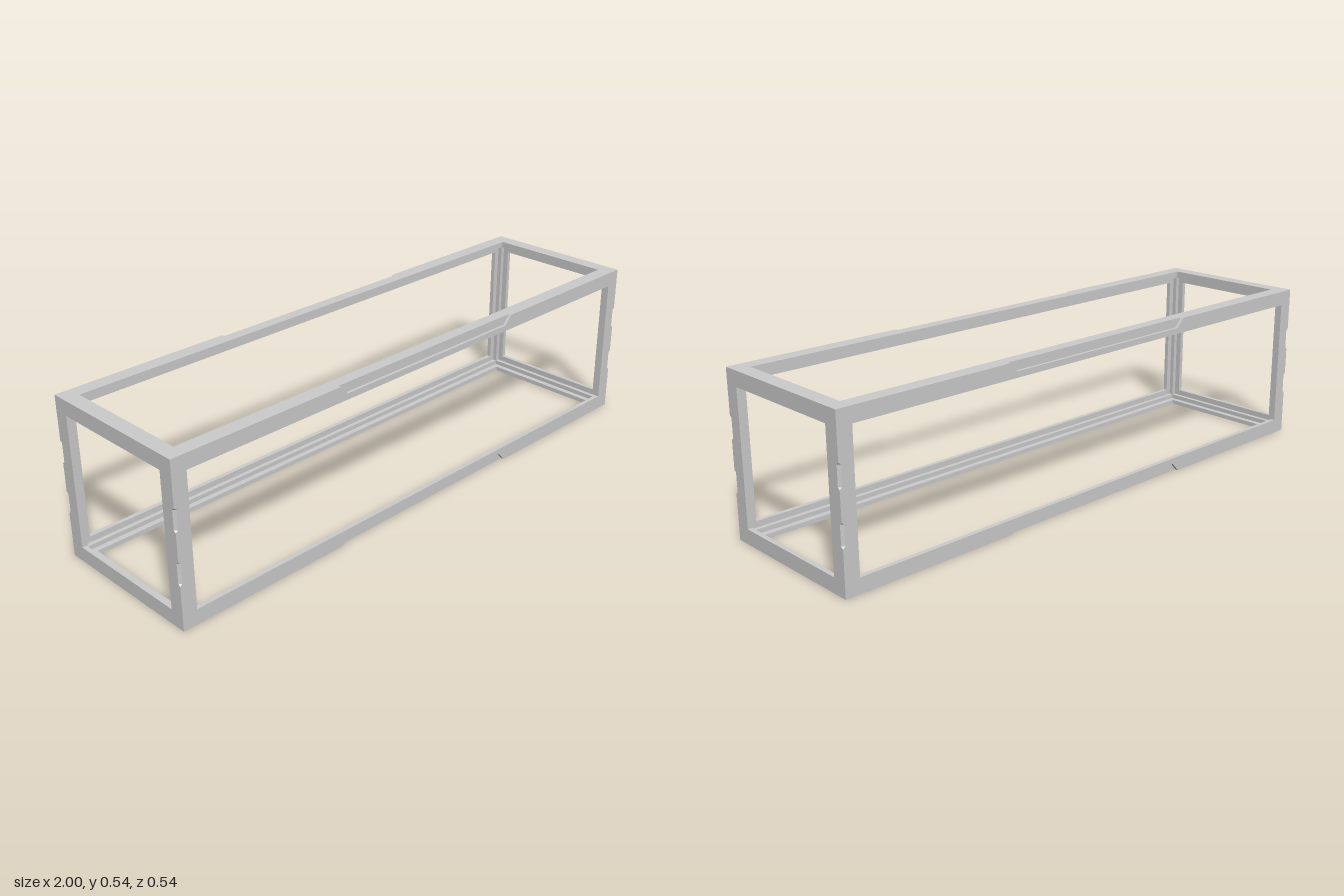
import * as THREE from 'three';

const HALF = [1, 0.271, 0.271]; // half sizes along x, y, z
const WIDTH = 0.05, FLANGE = 0.015, CORE = 0.03;

// Stepped angle section; u and v are distances inward from the two outer faces.
// The first three points are the outer edge, opened up where there is a recess.
const section = (edge) => [
  ...edge,
  [WIDTH, 0], [WIDTH, FLANGE], [CORE, FLANGE], [CORE, CORE],
  [FLANGE, CORE], [FLANGE, WIDTH], [0, WIDTH],
];
const SHARP = [[0, 0], [0, 0], [0, 0]];

// Stations [position, edge] across one recess with slanted ends
function recess(from, to, slant, startEdge, fullEdge) {
  return [
    [from, SHARP], [from, startEdge], [from + slant, fullEdge],
    [to - slant, fullEdge], [to, startEdge], [to, SHARP],
  ];
}

// Loft one mitred bar along an axis, at the corner given by the signs su, sv
function barGeometry(axis, su, sv, stations) {
  const uAxis = (axis + 1) % 3, vAxis = (axis + 2) % 3;
  const all = [[-HALF[axis], SHARP, 1], ...stations, [HALF[axis], SHARP, -1]];
  const rings = all.map(([t, edge, mitre = 0]) => section(edge).map(([u, v]) => {
    const p = [0, 0, 0];
    p[axis] = t + mitre * Math.max(u, v);
    p[uAxis] = su * (HALF[uAxis] - u);
    p[vAxis] = sv * (HALF[vAxis] - v);
    return new THREE.Vector3(...p);
  }));
  const positions = [];
  const tri = (a, b, c) => {
    const area = b.clone().sub(a).cross(c.clone().sub(a)).length();
    if (area < 1e-9) return;
    for (const p of su * sv > 0 ? [a, b, c] : [a, c, b]) positions.push(p.x, p.y, p.z);
  };
  for (let k = 0; k < rings.length - 1; k++) {
    const lo = rings[k], hi = rings[k + 1];
    for (let i = 0; i < lo.length; i++) {
      const j = (i + 1) % lo.length;
      tri(lo[i], lo[j], hi[j]);
      tri(lo[i], hi[j], hi[i]);
    }
  }
  const geometry = new THREE.BufferGeometry();
  geometry.setAttribute('position', new THREE.Float32BufferAttribute(positions, 3));
  geometry.computeVertexNormals();
  return geometry;
}

export function createModel() {
  const group = new THREE.Group();
  group.name = 'boxFrame';
  const material = new THREE.MeshStandardMaterial({ color: 0xcccccc, flatShading: true });

  // Long rails: one wide stepped rebate in the middle
  const d = 0.01, h = 0.03;
  const rebate = recess(-0.39, 0.39, 0.027,
    [[0, d], [0, d], [0, 0]], [[0, d], [h, d], [h, 0]]);

  // Posts: two short chamfers on the outer edge
  const c = 0.008;
  const chamfer = [[0, c], [c / 2, c / 2], [c, 0]];
  const chamfers = [
    ...recess(-0.122, -0.046, 0.006, SHARP, chamfer),
    ...recess(0.048, 0.124, 0.006, SHARP, chamfer),
  ];

  const bars = [['longRail', rebate], ['cornerPost', chamfers], ['endRail', []]];
  bars.forEach(([name, stations], axis) => {
    for (const su of [-1, 1]) for (const sv of [-1, 1]) {
      const mesh = new THREE.Mesh(barGeometry(axis, su, sv, stations), material);
      mesh.name = name;
      mesh.position.y = HALF[1];
      group.add(mesh);
    }
  });
  return group;
}
